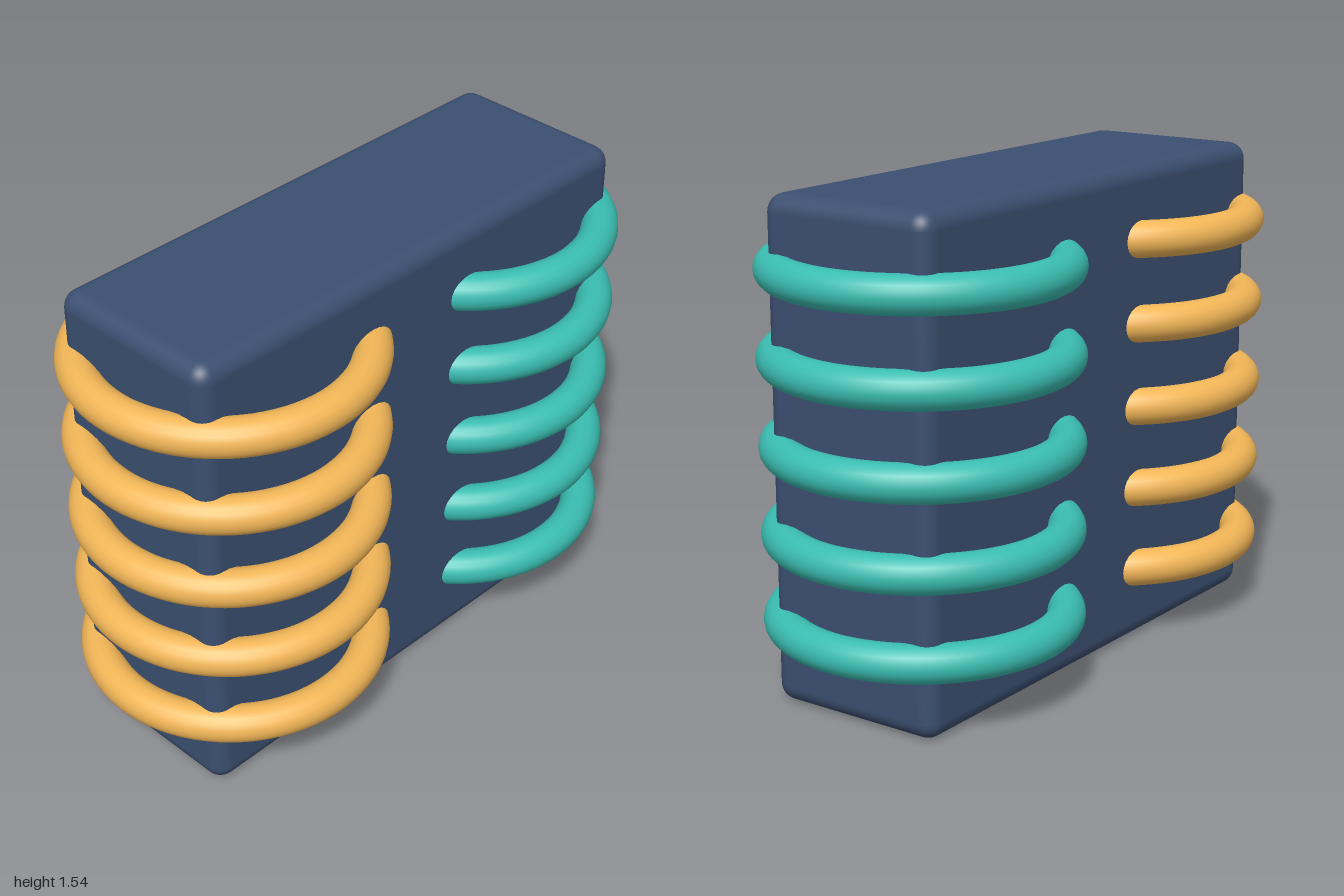
import * as THREE from 'three';
import { RoundedBoxGeometry } from 'three/addons/geometries/RoundedBoxGeometry.js';

const WIDTH = 1.74, HEIGHT = 1.54, DEPTH = 0.6;
const RING_COUNT = 5, RING_BASE = 0.239, RING_STEP = 0.268, RING_X = 0.512;

export function createModel() {
  const model = new THREE.Group();
  model.name = 'ringBoundBlock';

  const navy = new THREE.MeshStandardMaterial({ color: 0x3b4f70 });
  const gold = new THREE.MeshStandardMaterial({ color: 0xf2b657 });
  const teal = new THREE.MeshStandardMaterial({ color: 0x3abdb1 });

  // Solid block with softly rounded edges
  const block = new THREE.Mesh(new RoundedBoxGeometry(WIDTH, HEIGHT, DEPTH, 4, 0.055), navy);
  block.name = 'block';
  block.position.y = HEIGHT / 2;
  model.add(block);

  // Horizontal rings threaded through each end of the block
  const ringGeometry = new THREE.TorusGeometry(0.429, 0.059, 20, 80).rotateX(Math.PI / 2);
  const addRings = (name, side, material) => {
    const stack = new THREE.Group();
    stack.name = name + 'Rings';
    for (let i = 0; i < RING_COUNT; i++) {
      const ring = new THREE.Mesh(ringGeometry, material);
      ring.name = `${name}Ring${i + 1}`;
      ring.position.set(side * RING_X, RING_BASE + i * RING_STEP, 0);
      stack.add(ring);
    }
    model.add(stack);
  };
  addRings('left', 1, teal);
  addRings('right', -1, gold);

  return model;
}
